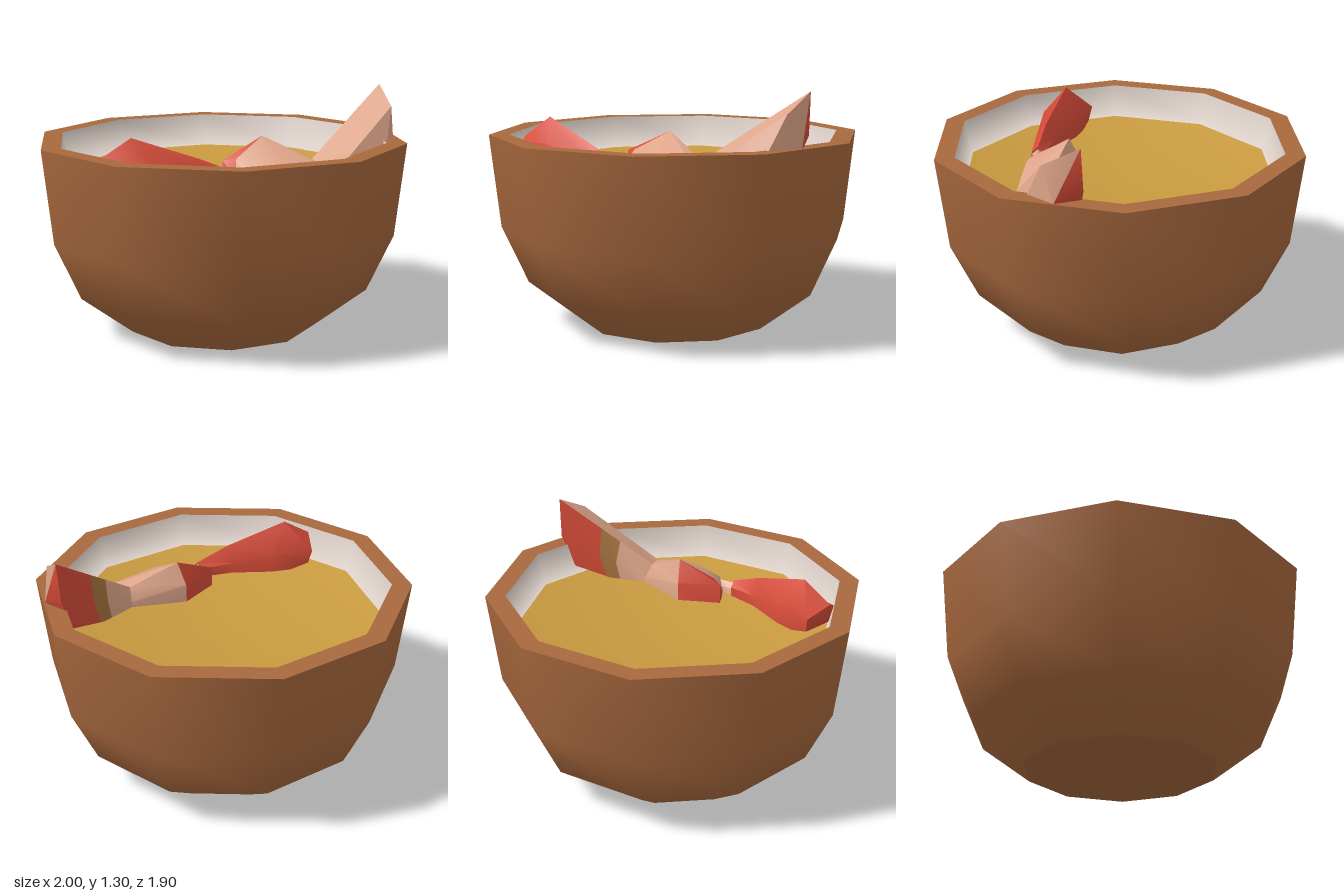
import * as THREE from 'three';
import { toCreasedNormals } from 'three/addons/utils/BufferGeometryUtils.js';

const mat = (name, color, side = THREE.FrontSide) => {
  const m = new THREE.MeshStandardMaterial({ color, side });
  m.name = name;
  return m;
};

// Ten-sided turned shape with a corner on the x axis
const turned = (profile) =>
  new THREE.LatheGeometry(profile.map(([r, y]) => new THREE.Vector2(r, y)), 10, Math.PI / 2);

// Skin over cross-sections that run along +x; paint(section, strip) picks the material index
function loft(sections, startTip, endTip, paint) {
  const pos = [];
  const geo = new THREE.BufferGeometry();
  const tri = (index, ...corners) => {
    geo.addGroup(pos.length / 3, 3, index);
    corners.forEach((c) => pos.push(...c));
  };
  const n = sections[0].length;
  const last = sections.length - 1;
  for (let j = 0; j < n; j++) {
    const k = (j + 1) % n;
    for (let i = 0; i < last; i++) {
      const [a, b, c, d] = [sections[i][j], sections[i][k], sections[i + 1][k], sections[i + 1][j]];
      tri(paint(i, j), a, b, c);
      tri(paint(i, j), a, c, d);
    }
    tri(paint(0, j), startTip, sections[0][k], sections[0][j]);
    tri(paint(last, j), endTip, sections[last][j], sections[last][k]);
  }
  geo.setAttribute('position', new THREE.Float32BufferAttribute(pos, 3));
  return toCreasedNormals(geo, 0.8);
}

const mix = (s, t, f) => s.map((p, j) => p.map((v, k) => v + (t[j][k] - v) * f));

export function createModel() {
  const group = new THREE.Group();
  const wood = mat('brown bowl', 0xa9693e);
  const cream = mat('cream lining', 0xdfd3cb);
  const broth = mat('golden soup', 0xc99b40);
  const pink = mat('pink meat', 0xdea58a);
  const red = mat('red shell', 0xd64b38);
  const tan = mat('tan band', 0xa8743f);
  const add = (name, geometry, material) => {
    const mesh = new THREE.Mesh(geometry, material);
    mesh.name = name;
    group.add(mesh);
  };

  // Bowl: base, outer wall and flat rim
  add('bowlBase', turned([[0, 0], [0.52, 0]]), wood);
  add('bowlWall', turned([[0.52, 0], [0.805, 0.22], [0.945, 0.53], [1, 1.03]]), wood);
  add('bowlRim', turned([[1, 1.03], [0.894, 1.03]]), wood);

  // Lining and soup share one softly shaded surface
  const inside = turned([[0.894, 1.03], [0.852, 0.85], [0, 0.85]]);
  for (let i = 0; i < 10; i++) {
    inside.addGroup(i * 12, 6, 0);
    inside.addGroup(i * 12 + 6, 6, 1);
  }
  add('liningAndSoup', inside, [cream, broth]);

  // Each section: back low, back, ridge, front, front low
  const tail = [
    [[-0.70, 0.88, 0.16], [-0.71, 0.96, 0.14], [-0.78, 1.01, 0.27], [-0.79, 0.97, 0.34], [-0.76, 0.88, 0.34]],
    [[-0.50, 0.82, 0.23], [-0.50, 0.95, 0.23], [-0.62, 1.11, 0.29], [-0.56, 0.98, 0.42], [-0.55, 0.82, 0.44]],
    [[-0.30, 0.82, 0.35], [-0.30, 0.91, 0.35], [-0.30, 1.00, 0.40], [-0.30, 0.93, 0.455], [-0.30, 0.82, 0.46]],
    [[-0.13, 0.82, 0.405], [-0.13, 0.90, 0.405], [-0.13, 0.93, 0.44], [-0.13, 0.90, 0.475], [-0.13, 0.82, 0.48]],
  ];
  add('shrimpTail', loft(tail, [-0.77, 0.93, 0.25], [-0.13, 0.88, 0.44], () => 0), [red]);

  // Narrow joint between tail and body
  const joint = [-0.13, -0.08, 0.02].map((x, i) => {
    const w = [0.033, 0.025, 0.04][i];
    return [[x, 0.82, 0.44 - w], [x, 0.89, 0.44 - w], [x, 0.915, 0.44], [x, 0.89, 0.44 + w], [x, 0.82, 0.44 + w]];
  });
  add('shrimpJoint', loft(joint, [-0.13, 0.87, 0.44], [0.02, 0.87, 0.44], () => 0), [pink]);

  // Humped body that dips and rises to a pointed end
  const dip = [[0.38, 0.80, 0.32], [0.38, 0.88, 0.32], [0.36, 0.945, 0.37], [0.42, 0.90, 0.53], [0.46, 0.80, 0.55]];
  const end = [[0.79, 0.90, 0.215], [0.86, 1.08, 0.19], [0.87, 1.30, 0.20], [0.83, 1.20, 0.39], [0.72, 0.90, 0.51]];
  const body = [
    [[-0.12, 0.80, 0.29], [-0.12, 0.96, 0.29], [-0.06, 0.97, 0.33], [-0.03, 0.92, 0.46], [0.00, 0.80, 0.51]],
    [[0.10, 0.80, 0.205], [0.10, 0.95, 0.21], [0.12, 1.07, 0.265], [0.13, 0.95, 0.49], [0.20, 0.80, 0.53]],
    dip, mix(dip, end, 0.35), mix(dip, end, 0.55), end,
  ];
  // Red and tan bands lie on the back strips only
  const bands = [1, 0, 0, 2, 1, 1];
  add('shrimpBody', loft(body, [-0.09, 0.88, 0.38], [0.885, 1.03, 0.33],
    (i, j) => (j < 2 ? bands[i] : 0)), [pink, red, tan]);

  return group;
}
